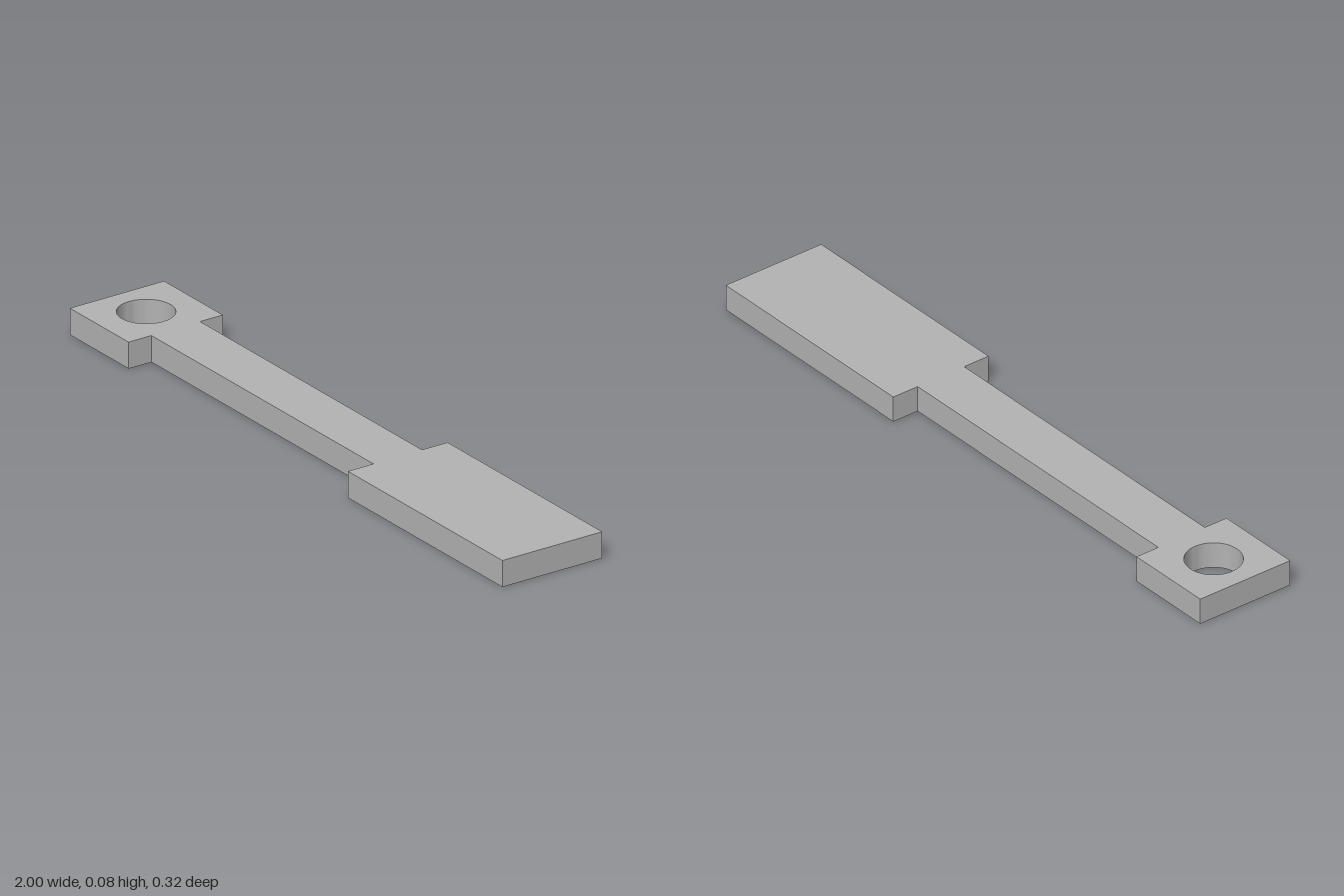
import * as THREE from 'three';
import { toCreasedNormals } from 'three/addons/utils/BufferGeometryUtils.js';

const THICKNESS = 0.077;

export function createModel() {
  const group = new THREE.Group();
  group.name = 'flatLever';
  const grey = new THREE.MeshStandardMaterial({ color: 0xb2b2b2 });
  grey.name = 'plain grey';

  // Half outline (x, half width): square eye end, narrow shank, wide paddle
  const half = [
    [-1, 0.153], [-0.73, 0.153], [-0.73, 0.079],
    [0.29, 0.079], [0.29, 0.162], [1, 0.162],
  ];
  const upper = half.map(([x, w]) => new THREE.Vector2(x, w));
  const lower = half.map(([x, w]) => new THREE.Vector2(x, -w)).reverse();
  const outline = new THREE.Shape([...upper, ...lower]);

  // Round through hole in the eye end
  const hole = new THREE.Path();
  hole.absarc(-0.866, 0, 0.079, 0, Math.PI * 2, false);
  outline.holes.push(hole);

  // Extrude to thickness and lay flat on the ground
  const plate = new THREE.ExtrudeGeometry(outline, {
    depth: THICKNESS, bevelEnabled: false, curveSegments: 32,
  });
  plate.rotateX(-Math.PI / 2);

  const lever = new THREE.Mesh(toCreasedNormals(plate, Math.PI / 6), grey);
  lever.name = 'leverPlate';
  group.add(lever);
  return group;
}
